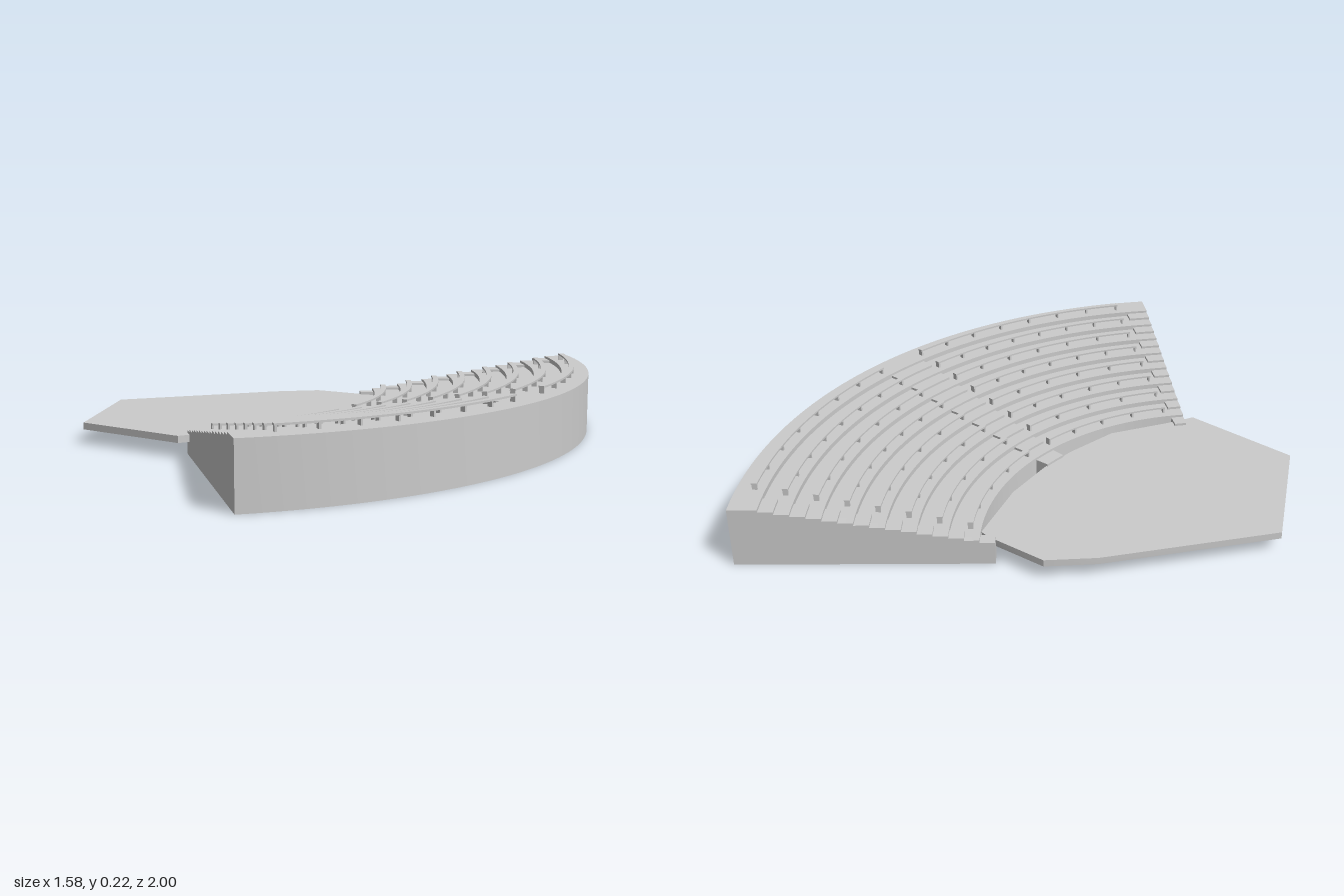
import * as THREE from 'three';
import { mergeGeometries, toCreasedNormals } from 'three/addons/utils/BufferGeometryUtils.js';

const CX = -0.735;              // centre of all the arcs on x
const R_OUT = 1.52;
const TIERS = 8, PITCH = 0.0925, R_FIRST = 0.783;
const RISE = 0.0157, H_FIRST = 0.083;
const rad = THREE.MathUtils.degToRad;
const tierR = i => R_FIRST + i * PITCH;
const tierH = i => H_FIRST + i * RISE;

const material = new THREE.MeshStandardMaterial({ color: 0xcccccc });

// Closed (radius, height) profile, counter-clockwise, swept from angle a0 to a1 (degrees from +x)
function arcSolid(profile, a0, a1) {
  const pts = profile.map(([r, y]) => new THREE.Vector2(r, y));
  const segments = Math.max(2, Math.ceil((a1 - a0) / 2));
  const sweep = new THREE.LatheGeometry([...pts, pts[0].clone()], segments, Math.PI / 2 + rad(a0), rad(a1 - a0));
  const startCap = new THREE.ShapeGeometry(new THREE.Shape(pts));
  const endCap = startCap.clone();
  endCap.index.array.reverse();
  startCap.rotateY(rad(a0));
  endCap.rotateY(rad(a1));
  return mergeGeometries([sweep, startCap, endCap]);
}

const arcBox = (r0, r1, y0, y1, a0, a1) =>
  arcSolid([[r0, y0], [r1, y0], [r1, y1], [r0, y1]], a0, a1);

function addMesh(parent, name, geometry) {
  const mesh = new THREE.Mesh(toCreasedNormals(geometry, rad(25)), material);
  mesh.name = name;
  parent.add(mesh);
  return mesh;
}

export function createModel() {
  const model = new THREE.Group();
  model.name = 'amphitheatre';

  const seating = new THREE.Group();
  seating.name = 'seating';
  seating.position.x = CX;
  model.add(seating);

  // Stepped tiers, one swept staircase profile
  const profile = [[R_FIRST, 0], [R_OUT, 0], [R_OUT, tierH(TIERS - 1)]];
  for (let i = TIERS - 1; i >= 0; i--) {
    profile.push([tierR(i), tierH(i)]);
    if (i > 0) profile.push([tierR(i), tierH(i - 1)]);
  }
  addMesh(seating, 'tiers', arcSolid(profile, -41.1, 41.1));

  // Half-height steps in the middle aisle and the two end aisles
  const aisles = [['rightAisle', 38, 41.1], ['middleAisle', -3.1, 3.1], ['leftAisle', -41.1, -38]];
  for (const [name, a0, a1] of aisles) {
    const steps = [];
    for (let i = 0; i < TIERS; i++) {
      const base = i === 0 ? 0 : tierH(i - 1);
      steps.push(arcBox(tierR(i) - PITCH / 2, tierR(i), base, tierH(i) - RISE / 2, a0, a1));
    }
    addMesh(seating, name + 'Steps', mergeGeometries(steps));
  }

  // Curved benches on short legs, mirrored about the middle aisle
  for (const side of [-1, 1]) {
    for (let i = 0; i < TIERS; i++) {
      const r = tierR(i) + 0.032, y = tierH(i);
      const from = 3.6, to = 36.7;
      const bench = new THREE.Group();
      bench.name = (side < 0 ? 'leftBench' : 'rightBench') + (i + 1);
      seating.add(bench);
      const [a0, a1] = side > 0 ? [from, to] : [-to, -from];
      addMesh(bench, 'benchSeat', arcBox(r - 0.009, r + 0.009, y + 0.017, y + 0.023, a0, a1));

      const count = Math.round(r * rad(to - from) / 0.12) + 1;
      const legs = [];
      for (let k = 0; k < count; k++) {
        const a = THREE.MathUtils.lerp(a0 + 0.2, a1 - 0.2, k / (count - 1));
        const leg = new THREE.BoxGeometry(0.016, 0.018, 0.006);
        leg.translate(r, y + 0.009, 0).rotateY(rad(a));
        legs.push(leg);
      }
      addMesh(bench, 'benchLegs', mergeGeometries(legs));
    }
  }

  // Flat many-sided stage slab, outline as (x, z)
  const outline = [
    [-0.79, 0.13], [-0.565, 0.54], [-0.165, 0.545], [-0.12, 0.45], [-0.02, 0.27], [0.005, 0.08],
    [0.005, -0.05], [-0.02, -0.23], [-0.1, -0.46], [-0.14, -0.465], [-0.34, -0.45], [-0.455, -0.335],
  ];
  const shape = new THREE.Shape(outline.map(([x, z]) => new THREE.Vector2(x, -z)));
  const slab = new THREE.ExtrudeGeometry(shape, { depth: 0.022, bevelEnabled: false });
  slab.rotateX(-Math.PI / 2).translate(0, 0.045, 0);
  addMesh(model, 'stage', slab);

  return model;
}
